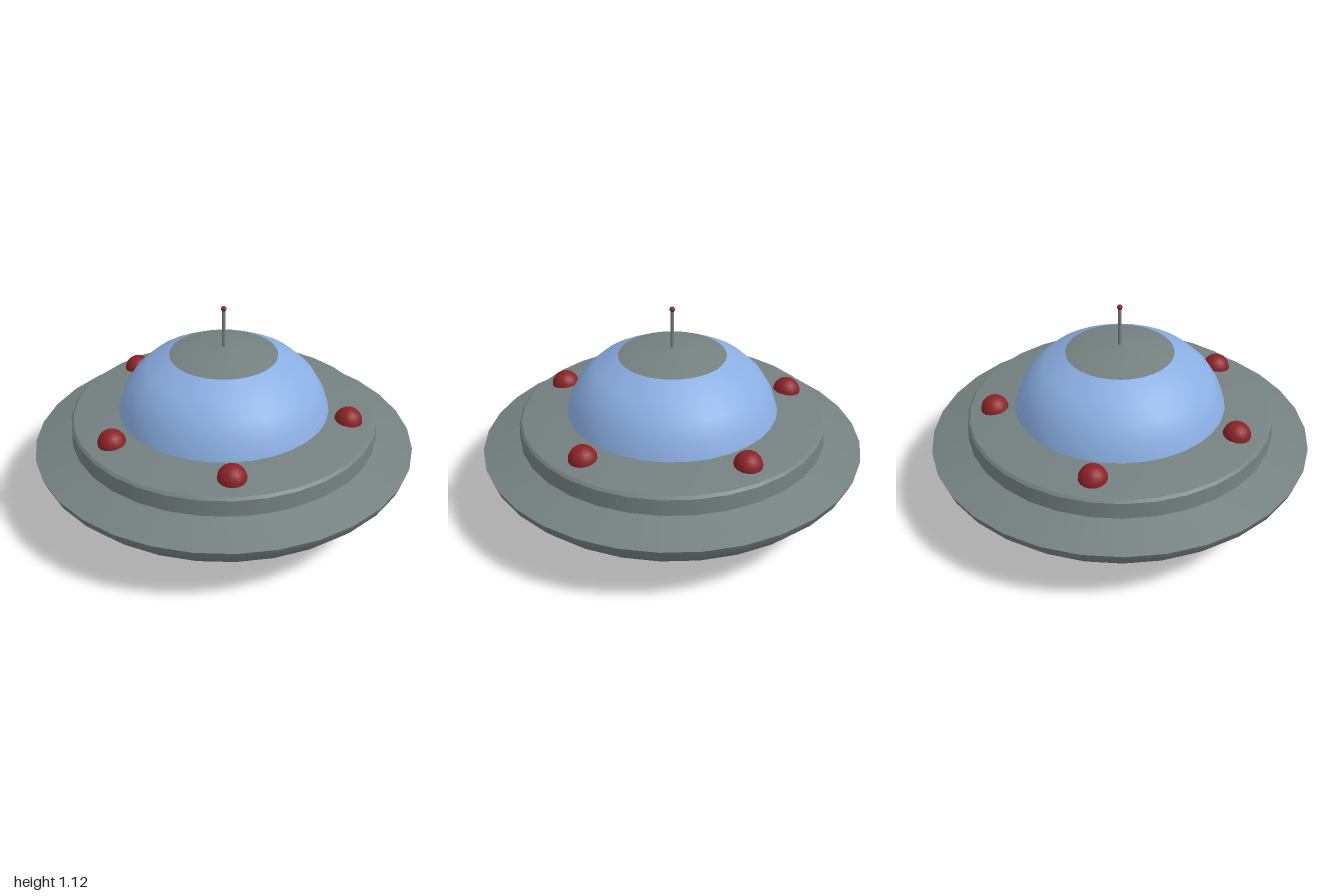
import * as THREE from 'three';

const SEGMENTS = 32;
const hullMat = new THREE.MeshStandardMaterial({ color: 0x748180 });
const glassMat = new THREE.MeshStandardMaterial({ color: 0x8aaee2 });
const redMat = new THREE.MeshStandardMaterial({ color: 0x8a2226 });

function createMesh(name, geometry, material, y = 0) {
  const mesh = new THREE.Mesh(geometry, material);
  mesh.name = name;
  mesh.position.y = y;
  return mesh;
}

// Surface of revolution from [radius, height] pairs, listed bottom to top
function lathe(name, profile, material) {
  const points = profile.map(([r, y]) => new THREE.Vector2(r, y));
  return createMesh(name, new THREE.LatheGeometry(points, SEGMENTS), material);
}

export function createModel() {
  const saucer = new THREE.Group();
  saucer.name = 'flyingSaucer';

  // Hull, split into separate surfaces where its edges are sharp
  saucer.add(
    lathe('lowerHull', [
      [0, 0], [0.2, 0.02], [0.38, 0.053], [0.56, 0.092], [0.71, 0.137],
      [0.83, 0.188], [0.92, 0.247], [0.98, 0.31], [1, 0.36],
    ], hullMat),
    lathe('rim', [[1, 0.36], [0.805, 0.42]], hullMat),
    lathe('deckWall', [[0.805, 0.42], [0.802, 0.505]], hullMat),
    lathe('deckBevel', [[0.802, 0.505], [0.79, 0.518]], hullMat),
    lathe('deck', [[0.79, 0.518], [0.68, 0.535], [0.55, 0.55]], hullMat),
  );

  // Glass dome and its metal cap
  saucer.add(
    lathe('dome', [
      [0.552, 0.55], [0.525, 0.635], [0.475, 0.72], [0.395, 0.795], [0.28, 0.853],
    ], glassMat),
    lathe('domeCap', [[0.28, 0.853], [0.16, 0.883], [0, 0.895]], hullMat),
  );

  // Antenna
  saucer.add(
    createMesh('antennaRod', new THREE.CylinderGeometry(0.009, 0.009, 0.23, 12), hullMat, 0.985),
    createMesh('antennaTip', new THREE.SphereGeometry(0.014, 12, 8), redMat, 1.103),
  );

  // Ring of lights, spaced a little wider than an even fifth of the circle
  const lights = new THREE.Group();
  lights.name = 'lights';
  const lightGeometry = new THREE.SphereGeometry(0.073, 16, 12);
  for (let i = 0; i < 5; i++) {
    const angle = THREE.MathUtils.degToRad(i * 74.7);
    const light = createMesh('light', lightGeometry, redMat, 0.533);
    light.position.x = 0.657 * Math.sin(angle);
    light.position.z = 0.657 * Math.cos(angle);
    lights.add(light);
  }
  saucer.add(lights);

  return saucer;
}
